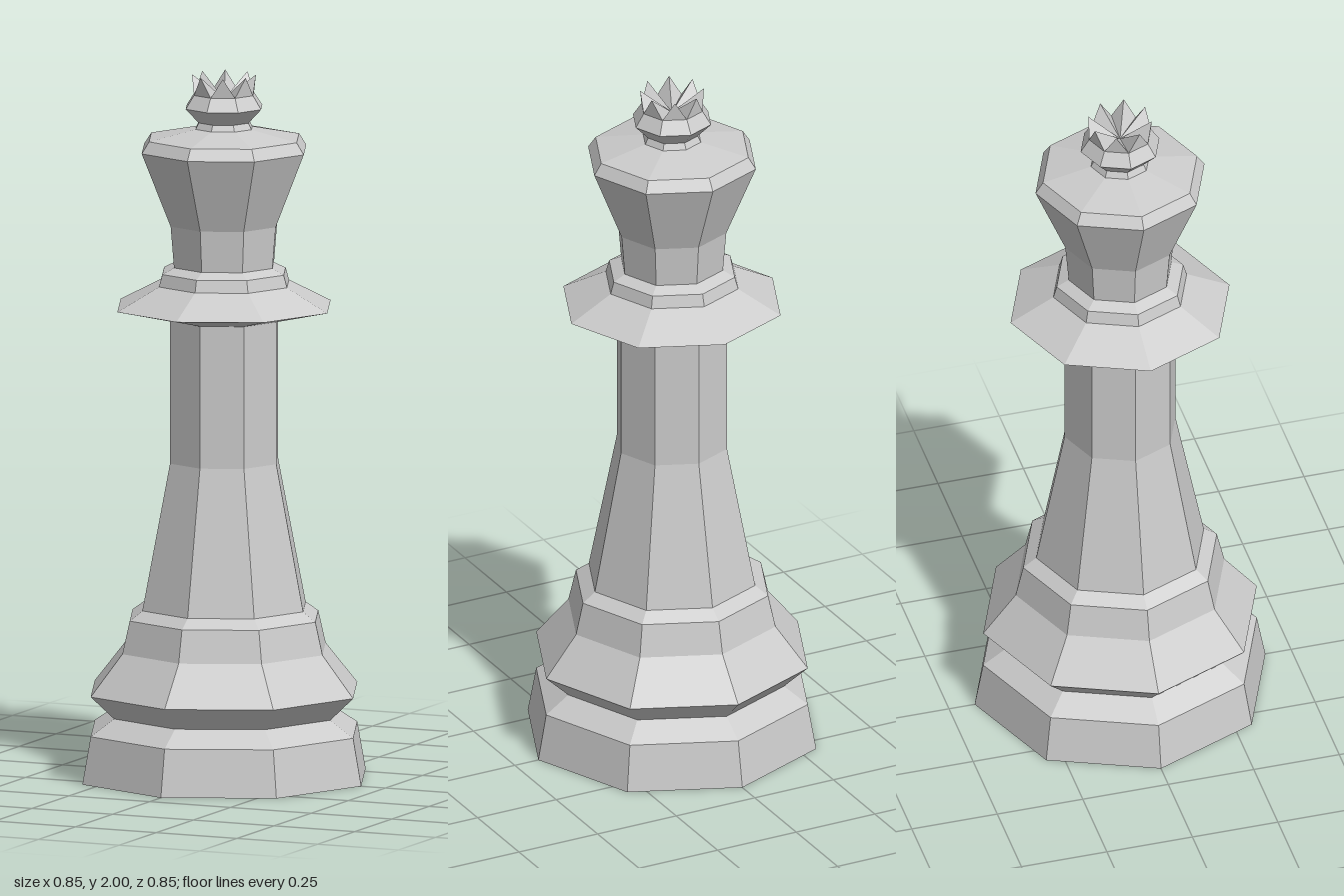
import * as THREE from 'three';

const SIDES = 8;
const material = new THREE.MeshStandardMaterial({ color: 0xcccccc, flatShading: true });

// Eight-sided turned section from [radius, height] pairs, bottom to top
function turned(name, profile) {
  const points = profile.map(([r, y]) => new THREE.Vector2(r, y));
  const mesh = new THREE.Mesh(new THREE.LatheGeometry(points, SIDES), material);
  mesh.name = name;
  return mesh;
}

// Ring of teeth whose inner faces slope down to a sunken centre
function crownTeeth(radius, valleyY, tipY, centreY) {
  const at = (step, y) => {
    const a = (step * Math.PI) / SIDES;
    return [Math.sin(a) * radius, y, Math.cos(a) * radius];
  };
  const centre = [0, centreY, 0];
  const corners = [];
  for (let i = 0; i < SIDES; i++) {
    const a = at(2 * i, valleyY);
    const tip = at(2 * i + 1, tipY);
    const b = at(2 * i + 2, valleyY);
    corners.push(a, b, tip); // outer face
    corners.push(centre, a, tip, centre, tip, b); // inner faces
  }
  const geometry = new THREE.BufferGeometry();
  geometry.setAttribute('position', new THREE.Float32BufferAttribute(corners.flat(), 3));
  geometry.computeVertexNormals();
  const mesh = new THREE.Mesh(geometry, material);
  mesh.name = 'crownTeeth';
  return mesh;
}

export function createModel() {
  const model = new THREE.Group();
  model.name = 'chessQueen';
  model.add(
    // Stepped foot with closed underside
    turned('base', [
      [0, 0], [0.425, 0], [0.4, 0.135], [0.33, 0.182], [0.4, 0.248],
      [0.305, 0.365], [0.283, 0.458], [0.245, 0.485],
    ]),
    // Tapered then straight column
    turned('stem', [[0.245, 0.485], [0.162, 0.9], [0.162, 1.305]]),
    // Wide sharp disc with a small ring above
    turned('collar', [
      [0.162, 1.305], [0.32, 1.34], [0.195, 1.405], [0.185, 1.44], [0.15, 1.457],
    ]),
    // Neck flaring to the head
    turned('head', [
      [0.15, 1.457], [0.16, 1.575], [0.247, 1.787], [0.225, 1.82], [0.085, 1.848],
    ]),
    // Small crown on top
    turned('crown', [[0.085, 1.848], [0.076, 1.866], [0.115, 1.907], [0.09, 1.945]]),
    crownTeeth(0.09, 1.945, 2, 1.93),
  );
  return model;
}
